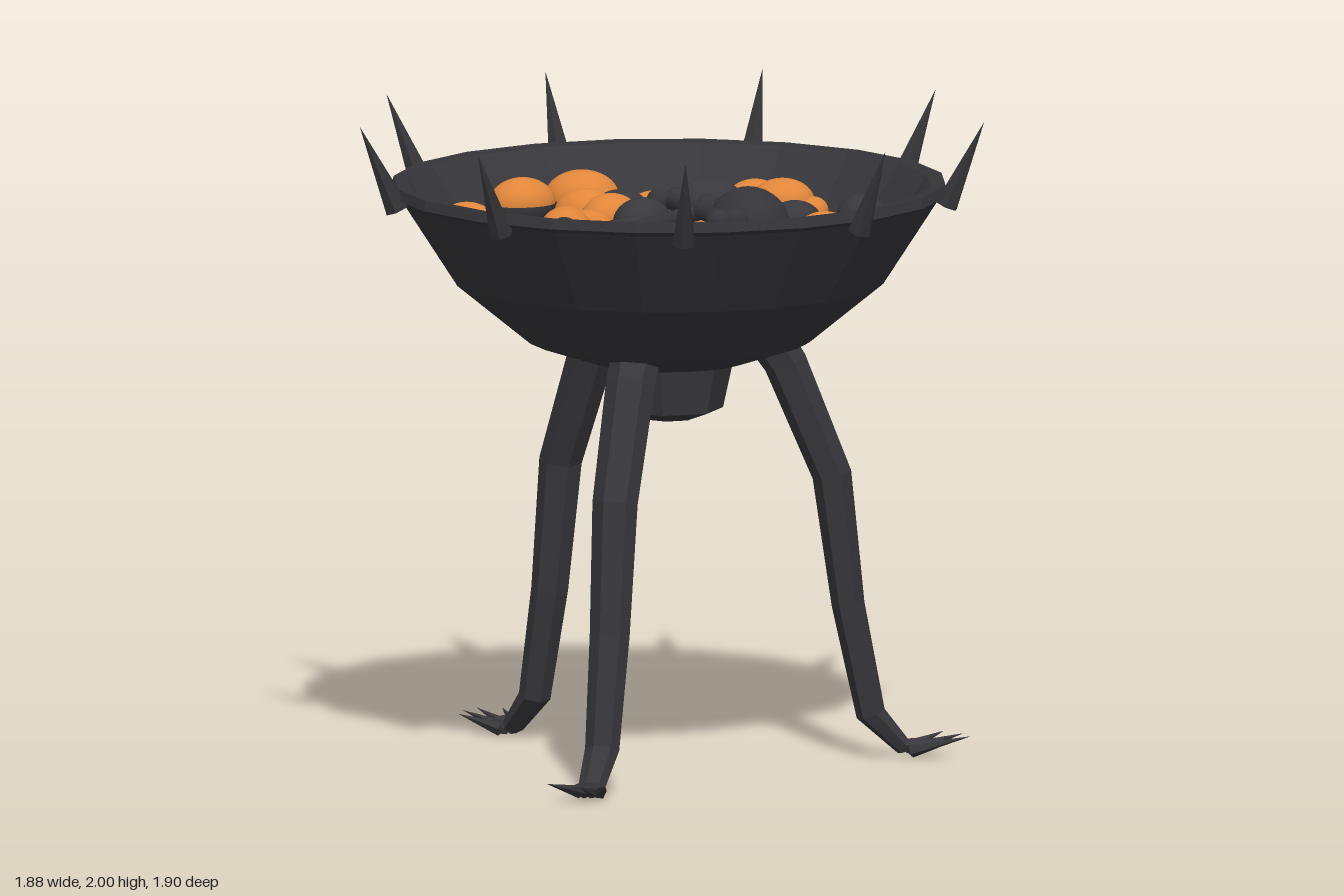
import * as THREE from 'three';

const mat = (name, color) => {
  const m = new THREE.MeshStandardMaterial({ color });
  m.name = name;
  return m;
};
const V = (x, y, z) => new THREE.Vector3(x, y, z);
const rad = THREE.MathUtils.degToRad;

// Faceted copy of a geometry
function facet(geo) {
  const g = geo.index ? geo.toNonIndexed() : geo;
  g.computeVertexNormals();
  return g;
}

function add(parent, name, geo, material) {
  const m = new THREE.Mesh(geo, material);
  m.name = name;
  parent.add(m);
  return m;
}

// Cone or rod running from a to b
function rod(parent, name, a, b, r0, r1, sides, material, flat) {
  const g = new THREE.CylinderGeometry(r1, r0, a.distanceTo(b), sides);
  const m = add(parent, name, flat ? facet(g) : g, material);
  m.position.copy(a).lerp(b, 0.5);
  m.quaternion.setFromUnitVectors(V(0, 1, 0), b.clone().sub(a).normalize());
  return m;
}

// Ellipsoid, or the part of it between two polar angles
function ball(parent, name, p, s, material, from = 0, to = Math.PI) {
  const g = new THREE.SphereGeometry(1, 20, 14, 0, Math.PI * 2, from, to - from);
  const m = add(parent, name, g, material);
  m.position.copy(p);
  m.scale.copy(s);
  return m;
}

// Loft of six-sided rings along a bent path in the xy plane: [x, y, half depth, half width]
function legGeometry(path) {
  const N = 6, pos = [], idx = [];
  path.forEach(([x, y, d, w], i) => {
    const p = path[Math.max(i - 1, 0)], q = path[Math.min(i + 1, path.length - 1)];
    const t = new THREE.Vector2(q[0] - p[0], q[1] - p[1]).normalize();
    for (let j = 0; j < N; j++) {
      const a = (j + 0.25) / N * Math.PI * 2;
      const c = Math.cos(a) * d;
      pos.push(x - t.y * c, y + t.x * c, Math.sin(a) * w);
    }
  });
  for (let i = 0; i < path.length - 1; i++) {
    for (let j = 0; j < N; j++) {
      const a = i * N + j, b = i * N + (j + 1) % N;
      idx.push(a, b, a + N, b, b + N, a + N);
    }
  }
  const e = (path.length - 1) * N;
  for (let j = 1; j < N - 1; j++) idx.push(e, e + j, e + j + 1);
  const g = new THREE.BufferGeometry();
  g.setAttribute('position', new THREE.Float32BufferAttribute(pos, 3));
  g.setIndex(idx);
  return facet(g);
}

// Coals: x, z, radius and, where turned, yaw in degrees
const GLOWING = [
  [-.36, -.51, .11], [-.53, -.39, .1, 35], [-.335, -.41, .092], [-.25, -.32, .092, 50], [-.365, -.28, .06],
  [-.3, -.2, .07], [-.355, -.06, .09, 90], [-.27, -.11, .065], [-.655, -.04, .085], [-.13, -.46, .085],
  [-.08, -.56, .055], [.16, -.6, .085], [.25, -.55, .095], [.345, -.53, .055, 90], [.04, -.38, .075],
  [.435, -.11, .085], [.41, .01, .07], [.605, .01, .058, 90], [.4, .12, .065], [.375, .22, .092, 90],
  [.505, .26, .105], [.43, .375, .093], [.23, .37, .062, 90], [.22, .45, .075], [.02, .59, .065],
  [-.22, .56, .115], [-.385, .48, .068], [-.45, .36, .07], [-.565, .14, .048, 110], [-.265, .26, .06],
  [-.1, .21, .085], [-.17, .07, .062], [.1, .13, .065], [-.03, -.14, .06], [-.03, .445, .065],
];
const COLD = [
  [.03, -.49, .11], [.12, -.53, .08], [-.23, -.42, .09], [-.14, -.22, .095, 60], [-.15, -.09, .07],
  [.32, -.27, .09, 50], [.52, -.325, .085, 115], [-.665, -.15, .055], [-.53, .245, .06, 140],
  [-.39, .36, .073], [-.485, .415, .065], [-.1, .36, .092], [-.045, .53, .095], [.13, .58, .095, 25],
  [.23, .53, .085], [.395, .41, .09], [.52, .15, .078], [.52, .35, .08, 45], [-.07, -.37, .075],
];

export function createModel() {
  const bowlIron = mat('bowl iron', 0x343438);
  const legIron = mat('leg iron', 0x37373c);
  const ember = mat('ember orange', 0xe0863a);
  const coal = mat('cold coal', 0x38383d);
  const charred = mat('charred bone', 0x353539);
  const socket = mat('socket black', 0x29292c);

  const model = new THREE.Group();
  model.name = 'brazier';
  const iron = new THREE.Group();
  iron.name = 'ironwork';
  iron.position.x = -0.03;
  model.add(iron);

  // Bowl: outside and rim, then the sloped inside with the bed for the coals
  const lathe = (profile, sides) =>
    facet(new THREE.LatheGeometry(profile.map(([r, y]) => new THREE.Vector2(r, y)), sides));
  add(iron, 'bowl', lathe([
    [0, 1.23], [.23, 1.245], [.43, 1.31], [.657, 1.495], [.825, 1.755], [.855, 1.77], [.845, 1.8], [.8, 1.795],
  ], 20), bowlIron);
  add(iron, 'bowlInside', lathe([[.8, 1.795], [.64, 1.575], [.4, 1.55], [0, 1.54]], 20), legIron);

  // Boss under the bowl
  add(iron, 'boss', lathe([[0, 1.06], [.08, 1.07], [.165, 1.1], [.2, 1.26]], 7), legIron);

  // Nine spikes around the rim
  for (let i = 0; i < 9; i++) {
    const a = i * Math.PI * 2 / 9, c = Math.cos(a), s = Math.sin(a);
    rod(iron, 'rimSpike', V(.85 * c, 1.74, .85 * s), V(.967 * c, 2, .967 * s), .038, 0, 6, bowlIron, true);
  }

  // Three bent legs with clawed feet
  const legGeo = legGeometry([
    [.3, 1.32, .07, .076], [.36, 1.23, .066, .076], [.505, .88, .06, .07], [.555, .48, .05, .062],
    [.625, .14, .045, .053], [.725, .037, .028, .042], [.785, .045, .017, .04],
  ]);
  for (const deg of [102, 222, 342]) {
    const leg = new THREE.Group();
    leg.name = 'leg';
    leg.rotation.y = -rad(deg);
    iron.add(leg);
    add(leg, 'shank', legGeo, legIron);
    [[-.095, .87], [-.035, .92], [.03, .93], [.09, .88]].forEach(([z, r]) =>
      rod(leg, 'claw', V(.745, .026, z * .35), V(r, .065, z), .022, 0, 5, legIron, true));
  }

  // Coals resting on the bed: cold ones whole, glowing ones lit on the upper side only
  const lay = (name, [x, z, r, yaw = 0], material, from, to) => {
    const rise = Math.max(0, Math.hypot(x + .03, z) - .55) * .25;
    const m = ball(model, name, V(x, 1.57 + r * .7 + rise, z), V(r * 1.06, r * .8, r * .88), material, from, to);
    m.rotation.y = rad(yaw);
  };
  const edge = Math.PI * .5;
  for (const c of GLOWING) {
    lay('glowingCoalTop', c, ember, 0, edge);
    lay('glowingCoalUnderside', c, coal, edge, Math.PI);
  }
  for (const c of COLD) lay('coldCoal', c, coal);

  // Crossed bones, each with a pair of knobs at both ends
  const bones = [
    [V(-.345, 1.655, .09), V(.14, 1.655, .1)],
    [V(-.145, 1.67, .2), V(.09, 1.69, -.2)],
    [V(-.07, 1.695, -.3), V(.16, 1.695, .09)],
  ];
  for (const [a, b] of bones) {
    const bone = new THREE.Group();
    bone.name = 'bone';
    model.add(bone);
    rod(bone, 'boneShaft', a, b, .026, .026, 10, charred);
    const side = b.clone().sub(a).cross(V(0, 1, 0)).normalize().multiplyScalar(.028);
    for (const end of [a, b]) {
      for (const k of [-1, 1]) {
        ball(bone, 'boneKnob', end.clone().addScaledVector(side, k), V(.041, .037, .041), charred);
      }
    }
  }

  // Skull turned toward the back
  const skull = new THREE.Group();
  skull.name = 'skull';
  skull.position.set(.21, 1.655, -.04);
  skull.rotation.y = rad(30);
  model.add(skull);
  ball(skull, 'cranium', V(0, 0, 0), V(.125, .125, .142), charred);
  ball(skull, 'jaw', V(0, -.075, -.095), V(.07, .055, .058), charred);
  for (const k of [-1, 1]) {
    ball(skull, 'cheek', V(k * .065, -.04, -.095), V(.035, .03, .04), charred);
    ball(skull, 'eyeSocket', V(k * .047, .02, -.122), V(.026, .026, .018), socket);
  }
  ball(skull, 'noseHole', V(0, -.04, -.138), V(.012, .02, .012), socket);

  return model;
}
